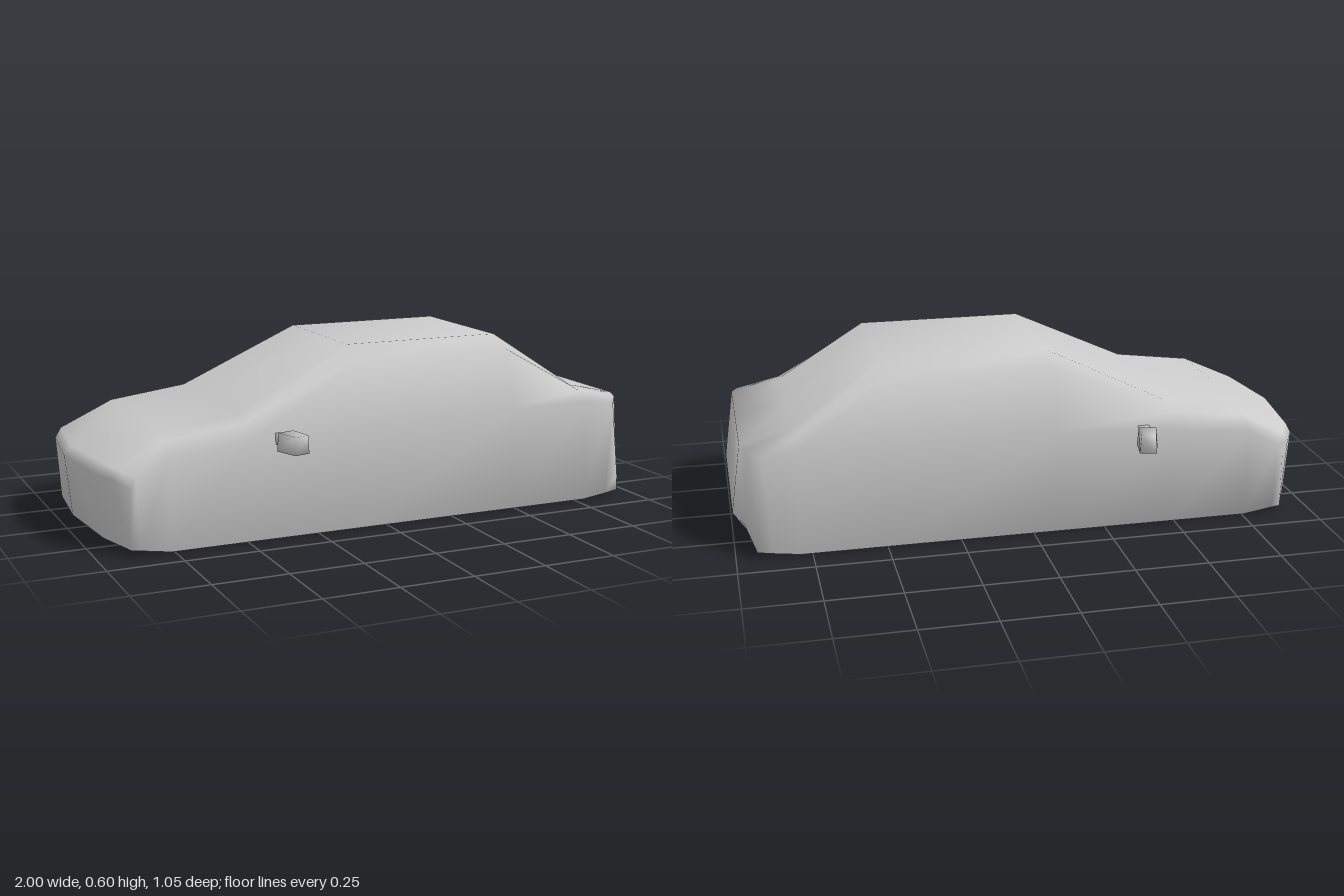
import * as THREE from 'three';
import { mergeVertices } from 'three/addons/utils/BufferGeometryUtils.js';

const grey = new THREE.MeshStandardMaterial({ color: 0xcccccc, side: THREE.DoubleSide });

const W = 0.394; // half width of the body

// Half cross-section: top centre, roof edge, shoulder, belt, sill, floor edge, floor centre
function station(c, a, s, b, f, g, h) {
  return [c, a, s, b, f, g, h];
}

// Section at constant x: [y, z] of roof edge and shoulder, y of belt and floor
function flat(x, top, a, s, belt, floor = 0) {
  return station([x, top, 0], [x, ...a], [x, ...s], [x, belt, W],
    [x, floor, W], [x, floor, 0.28], [x, floor, 0]);
}

// Smooth skin over the sections, closed at both ends
function loft(stations) {
  const pos = [], index = [], N = 12;
  for (const half of stations) {
    const mirrored = half.slice(1, 6).reverse().map(([x, y, z]) => [x, y, -z]);
    [...half, ...mirrored].forEach((p) => pos.push(...p));
  }
  for (let i = 0; i < stations.length - 1; i++) {
    for (let j = 0; j < N; j++) {
      const k = (j + 1) % N;
      const a = i * N + j, b = i * N + k, c = a + N, d = b + N;
      index.push(a, b, c, b, d, c);
    }
  }
  // End caps, as columns between the top and floor points
  const end = (stations.length - 1) * N;
  const columns = [[0, 1, 5, 6], [1, 2, 4, 5], [2, 3, 4], [0, 6, 7, 11], [7, 8, 10, 11], [8, 9, 10]];
  for (const col of columns) {
    for (let t = 1; t < col.length - 1; t++) {
      index.push(col[0], col[t + 1], col[t]);
      index.push(end + col[0], end + col[t], end + col[t + 1]);
    }
  }
  const geo = new THREE.BufferGeometry();
  geo.setAttribute('position', new THREE.Float32BufferAttribute(pos, 3));
  geo.setIndex(index);
  geo.computeVertexNormals();
  return geo;
}

// Share corners so that shading runs smoothly over the edges
function softened(geo) {
  geo.deleteAttribute('normal');
  geo.deleteAttribute('uv');
  const merged = mergeVertices(geo);
  merged.computeVertexNormals();
  return merged;
}

function createBody() {
  const geo = loft([
    // Nose
    station([-1, 0.25, 0], [-0.965, 0.25, 0.28], [-0.93, 0.24, 0.34], [-0.89, 0.22, W],
      [-0.89, 0.02, W], [-0.95, 0.038, 0.28], [-0.98, 0.045, 0]),
    // Bonnet lip
    station([-0.98, 0.285, 0], [-0.945, 0.285, 0.28], [-0.91, 0.27, 0.335], [-0.87, 0.25, W],
      [-0.86, 0.016, W], [-0.88, 0.02, 0.28], [-0.88, 0.02, 0]),
    // Bonnet
    flat(-0.76, 0.375, [0.37, 0.28], [0.35, 0.335], 0.31),
    // Windscreen base
    flat(-0.49, 0.41, [0.405, 0.28], [0.38, 0.335], 0.335),
    // Roof front and rear
    flat(-0.08, 0.6, [0.6, 0.24], [0.56, 0.325], 0.36),
    flat(0.49, 0.6, [0.6, 0.24], [0.56, 0.325], 0.36),
    // Rear window base
    flat(0.79, 0.4, [0.4, 0.28], [0.39, 0.335], 0.36),
    // Boot edge
    station([0.965, 0.36, 0], [0.965, 0.36, 0.28], [0.945, 0.355, 0.335], [0.9, 0.345, W],
      [0.88, 0.012, W], [0.88, 0.012, 0.28], [0.88, 0.012, 0]),
    // Rear bumper
    station([1, 0.12, 0], [1, 0.12, 0.28], [0.965, 0.1, 0.335], [0.93, 0.07, W],
      [0.93, 0.02, W], [0.93, 0.017, 0.28], [0.93, 0.017, 0]),
  ]);
  const body = new THREE.Mesh(geo, grey);
  body.name = 'body';
  return body;
}

function createMirror(name) {
  const mirror = new THREE.Group();
  mirror.name = name;

  // Housing: small box, wider at the bottom and slanting rearward as it goes out
  const box = new THREE.BoxGeometry(0.066, 0.06, 0.088);
  const p = box.attributes.position;
  for (let i = 0; i < p.count; i++) {
    const low = p.getY(i) < 0, outer = p.getZ(i) > 0;
    p.setX(i, p.getX(i) * (low ? 1.05 : 0.9) * (outer ? 0.8 : 1));
  }
  const housing = new THREE.Mesh(softened(box), grey);
  housing.name = 'mirrorHousing';
  housing.position.set(-0.37, 0.335, 0.474);
  housing.rotation.y = 0.26;
  mirror.add(housing);

  // Arm, set into the door
  const bar = new THREE.CylinderGeometry(0.018, 0.028, 0.06, 4, 1);
  bar.rotateY(Math.PI / 4);
  const arm = new THREE.Mesh(softened(bar), grey);
  arm.name = 'mirrorArm';
  arm.position.set(-0.383, 0.335, 0.41);
  arm.rotation.x = Math.PI / 2;
  mirror.add(arm);
  return mirror;
}

export function createModel() {
  const car = new THREE.Group();
  car.name = 'car';
  car.add(createBody());

  const nearMirror = createMirror('sideMirrorFront');
  const farMirror = createMirror('sideMirrorBack');
  farMirror.scale.z = -1;
  car.add(nearMirror, farMirror);
  return car;
}
